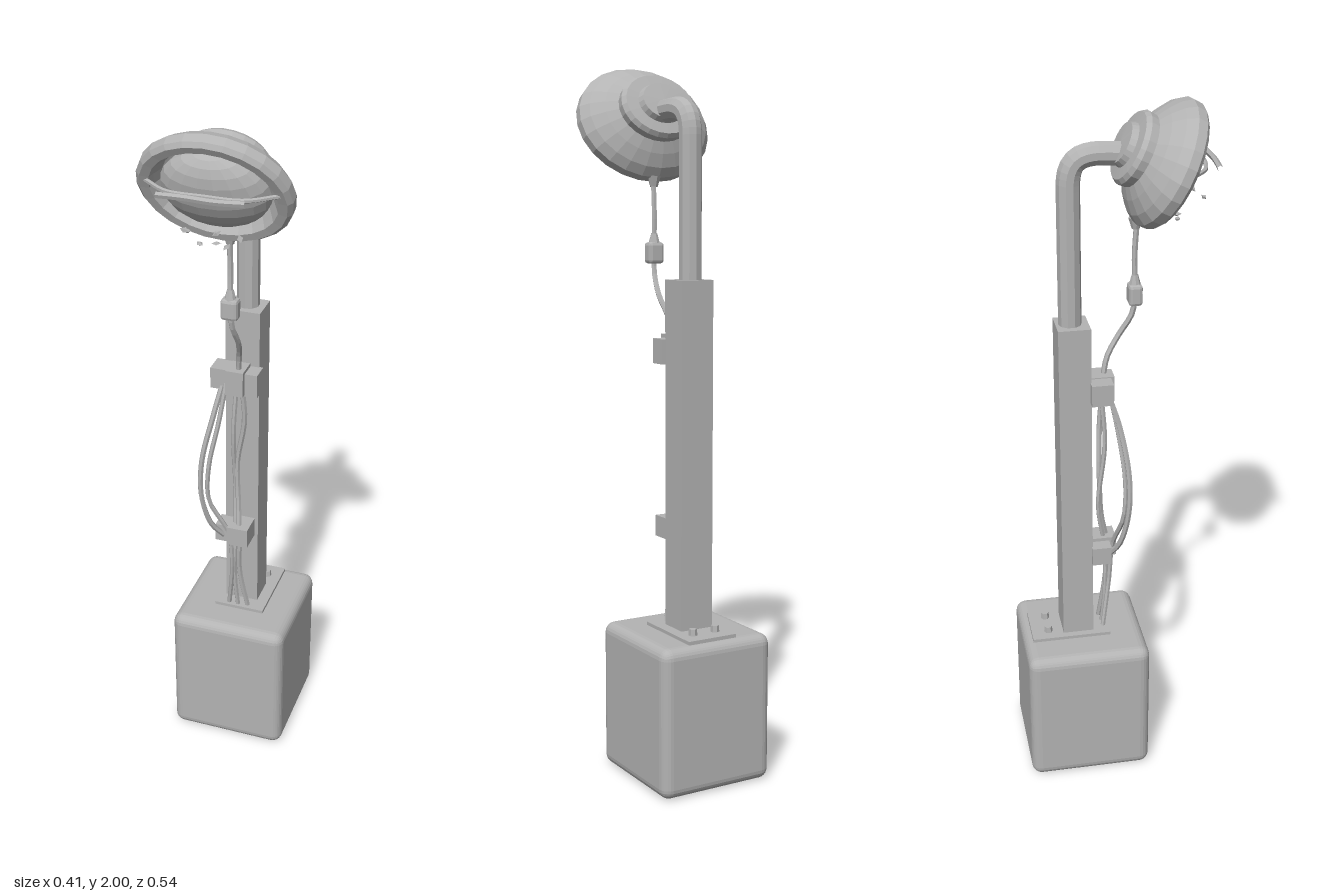
import * as THREE from 'three';
import { RoundedBoxGeometry } from 'three/addons/geometries/RoundedBoxGeometry.js';

const V = (x, y, z) => new THREE.Vector3(x, y, z);

export function createModel() {
  const model = new THREE.Group();
  model.name = 'streetLamp';
  const grey = new THREE.MeshStandardMaterial({ color: 0xb3b3b3, flatShading: true });
  grey.name = 'plain grey';

  const add = (name, geometry, x = 0, y = 0, z = 0, parent = model) => {
    const mesh = new THREE.Mesh(geometry, grey);
    mesh.name = name;
    mesh.position.set(x, y, z);
    parent.add(mesh);
    return mesh;
  };
  // Box given by its limits on each axis
  const block = (name, x0, x1, y0, y1, z0, z1) =>
    add(name, new THREE.BoxGeometry(x1 - x0, y1 - y0, z1 - z0), (x0 + x1) / 2, (y0 + y1) / 2, (z0 + z1) / 2);
  const tube = (name, points, radius, parent = model, sides = 6, steps = 24) =>
    add(name, new THREE.TubeGeometry(new THREE.CatmullRomCurve3(points), steps, radius, sides), 0, 0, 0, parent);

  // Foundation block, mounting plate and bolts
  add('base', new RoundedBoxGeometry(0.35, 0.425, 0.36, 3, 0.03), 0, 0.22, -0.092);
  block('mountingPlate', -0.07, 0.083, 0.425, 0.442, -0.247, -0.015);
  for (const x of [-0.032, 0.04]) {
    add('bolt', new THREE.CylinderGeometry(0.011, 0.013, 0.02, 6), x, 0.45, -0.197);
  }

  // Square post with the bent pipe on top
  block('post', -0.05, 0.05, 0.435, 1.42, -0.153, -0.063);
  const bend = new THREE.CurvePath();
  bend.add(new THREE.LineCurve3(V(0, 1.4, -0.113), V(0, 1.8, -0.113)));
  bend.add(new THREE.CubicBezierCurve3(V(0, 1.8, -0.113), V(0, 1.865, -0.113), V(0, 1.885, -0.09), V(0, 1.885, -0.03)));
  bend.add(new THREE.LineCurve3(V(0, 1.885, -0.03), V(0, 1.88, 0.06)));
  add('pipe', new THREE.TubeGeometry(bend, 40, 0.032, 10));

  // Lamp head: oval stepped shade tipped forward
  const head = new THREE.Group();
  head.name = 'lampHead';
  head.position.set(0, 1.86, 0.127);
  head.rotation.x = 0.47;
  model.add(head);
  const profile = [
    [0, -0.115], [0.065, -0.112], [0.072, -0.095], [0.108, -0.092], [0.118, -0.08], [0.116, -0.058],
    [0.15, -0.04], [0.185, -0.015], [0.205, 0.01], [0.204, 0.036], [0.192, 0.047],
    [0.168, 0.045], [0.16, 0.03], [0.145, 0.005], [0, 0],
  ].map(([r, z]) => new THREE.Vector2(r, z));
  const shade = new THREE.LatheGeometry(profile, 24).rotateX(Math.PI / 2).scale(1, 0.853, 1);
  add('shade', shade, 0, 0, 0, head);
  const bulb = new THREE.SphereGeometry(1, 18, 12).scale(0.145, 0.117, 0.07);
  add('bulb', bulb, 0, 0, 0.02, head);

  // Wire guard across the opening and the loose strip in front of it
  tube('guardWire', [V(-0.175, 1.863, 0.175), V(-0.1, 1.86, 0.225), V(0, 1.863, 0.238), V(0.1, 1.86, 0.225), V(0.175, 1.863, 0.175)], 0.006);
  tube('guardStrip', [V(-0.112, 1.862, 0.26), V(-0.04, 1.865, 0.264), V(0.04, 1.863, 0.264), V(0.114, 1.866, 0.26)], 0.008, model, 5, 10);

  // Small shards hanging below the opening
  const shards = [[-0.07, 1.735, 0.16], [-0.035, 1.71, 0.17], [0, 1.705, 0.145], [0.04, 1.715, 0.18],
    [0.07, 1.735, 0.165], [-0.05, 1.77, 0.235], [0.03, 1.768, 0.225]];
  shards.forEach(([x, y, z], i) => {
    const shard = add('shard', new THREE.OctahedronGeometry(1).scale(0.008, 0.006, 0.013), x, y, z);
    shard.rotation.set(i * 0.15, i * 0.9, 0);
  });

  // Lead from the head through the plug to the upper clamp
  tube('headLead', [V(0.01, 1.74, 0.075), V(0.01, 1.6, 0.066), V(0.01, 1.49, 0.068), V(0.013, 1.43, 0.06),
    V(0.018, 1.37, 0.025), V(0.008, 1.31, -0.01), V(0, 1.23, -0.025)], 0.008);
  add('plug', new RoundedBoxGeometry(0.048, 0.06, 0.038, 1, 0.009), 0.01, 1.49, 0.067);
  add('plugCollar', new THREE.CylinderGeometry(0.009, 0.017, 0.03, 8), 0.01, 1.53, 0.067);
  add('leadGland', new THREE.CylinderGeometry(0.02, 0.011, 0.03, 8), 0.01, 1.69, 0.068);

  // Cable clamps on the front of the post
  block('upperClampLeft', -0.005, 0.06, 1.185, 1.255, -0.066, -0.012);
  block('upperClampRight', -0.075, -0.022, 1.2, 1.262, -0.066, -0.005);
  block('upperClampFront', -0.028, 0.024, 1.19, 1.265, -0.06, 0.005);
  block('lowerClampRight', -0.065, -0.02, 0.68, 0.735, -0.066, -0.01);
  block('lowerClampFront', -0.024, 0.04, 0.685, 0.745, -0.066, 0.01);

  // Cables running down to the base, two of them sagging outwards
  tube('sagCableOuter', [V(-0.04, 1.22, -0.015), V(-0.06, 1.12, 0.015), V(-0.088, 0.98, 0.036), V(-0.092, 0.86, 0.034),
    V(-0.07, 0.75, 0.012), V(-0.04, 0.7, -0.015)], 0.008);
  tube('sagCableInner', [V(-0.03, 1.22, -0.01), V(-0.045, 1.1, 0.012), V(-0.07, 0.96, 0.028), V(-0.072, 0.84, 0.024),
    V(-0.02, 0.72, 0), V(-0.012, 0.6, -0.008), V(-0.03, 0.43, -0.032)], 0.007);
  tube('straightCable', [V(0.012, 1.22, -0.02), V(0.018, 1.1, -0.03), V(-0.005, 0.95, -0.035), V(0, 0.82, -0.03),
    V(0.01, 0.7, -0.01), V(0.008, 0.58, -0.018), V(0.03, 0.43, -0.035)], 0.008);
  tube('backCable', [V(-0.005, 1.22, -0.03), V(-0.012, 1.05, -0.02), V(-0.012, 0.85, -0.04), V(-0.005, 0.7, -0.02),
    V(-0.008, 0.56, -0.02), V(0, 0.43, -0.03)], 0.007);

  return model;
}
